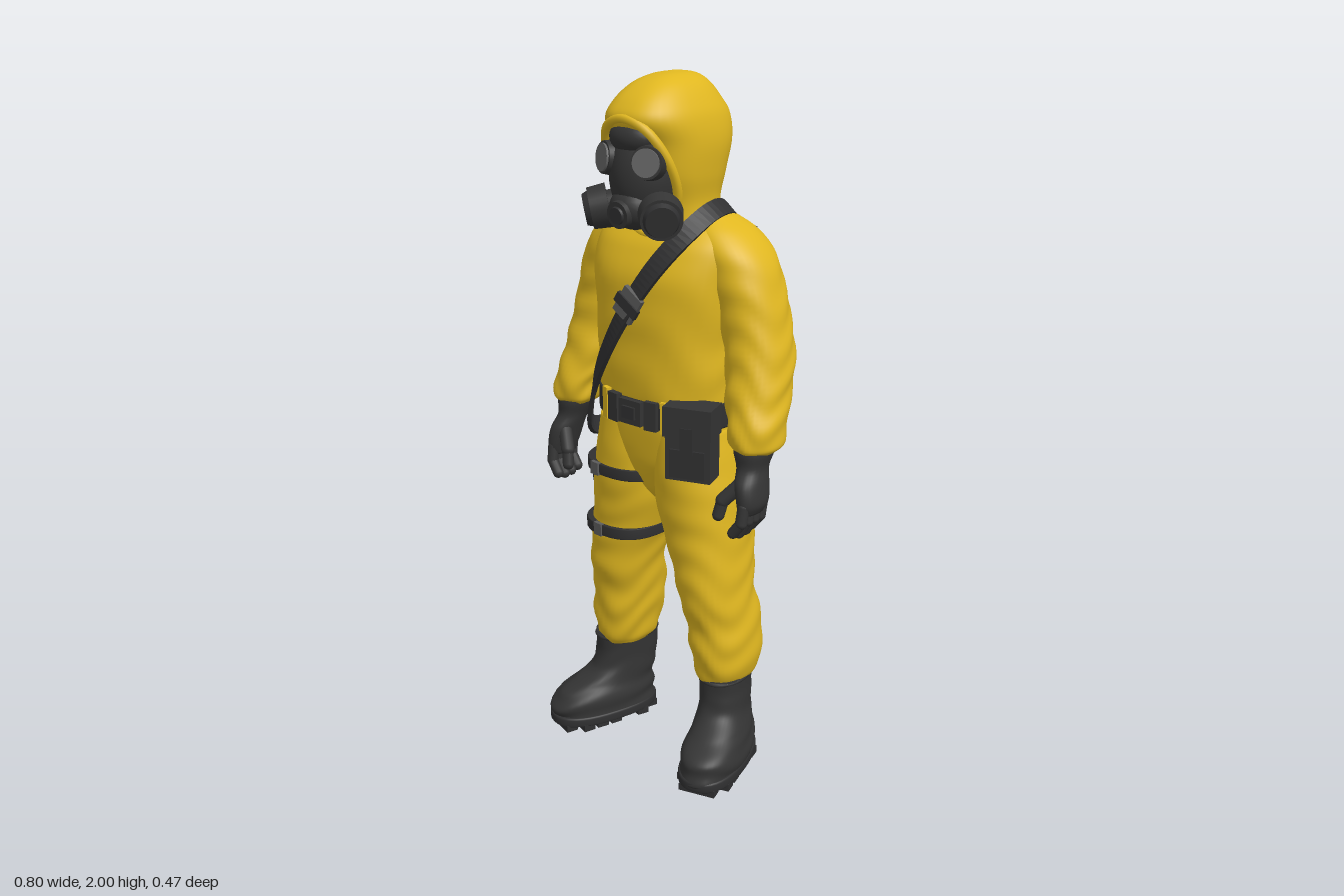
import * as THREE from 'three';

const mat = (name, color) => {
  const m = new THREE.MeshStandardMaterial({ color });
  m.name = name;
  return m;
};

export function createModel() {
  const root = new THREE.Group();
  const suit = mat('yellow suit', 0xe0b720);
  const gear = mat('black rubber', 0x343434);
  const web = mat('dark webbing', 0x303031);
  const metal = mat('grey metal', 0x5c5c5c);
  const glass = mat('grey lens', 0x666666);

  const add = (name, geo, material, pos = [0, 0, 0], rot = [0, 0, 0], parent = root) => {
    const m = new THREE.Mesh(geo, material);
    m.name = name;
    m.position.set(...pos);
    m.rotation.set(...rot);
    parent.add(m);
    return m;
  };
  const box = (name, size, pos, material, rot, parent) =>
    add(name, new THREE.BoxGeometry(...size), material, pos, rot, parent);

  // Closed grid of rings, rows running upwards and columns from +x to +z
  function skin(rows, cap = true) {
    const n = rows[0].length, pos = [], idx = [];
    rows.forEach(r => r.forEach(p => pos.push(p.x, p.y, p.z)));
    for (let i = 0; i < rows.length - 1; i++) for (let j = 0; j < n; j++) {
      const a = i * n + j, b = i * n + (j + 1) % n;
      idx.push(a, a + n, b, b, a + n, b + n);
    }
    if (cap) [rows[0], rows[rows.length - 1]].forEach((r, k) => {
      const c = pos.length / 3, o = k * (rows.length - 1) * n;
      const mid = r.reduce((s, p) => s.add(p), new THREE.Vector3()).divideScalar(n);
      pos.push(mid.x, mid.y, mid.z);
      for (let j = 0; j < n; j++) {
        const a = o + j, b = o + (j + 1) % n;
        if (k) idx.push(c, b, a); else idx.push(c, a, b);
      }
    });
    const g = new THREE.BufferGeometry();
    g.setAttribute('position', new THREE.Float32BufferAttribute(pos, 3));
    g.setIndex(idx);
    g.computeVertexNormals();
    return g;
  }

  // Loft through keys [y, cx, cz, rx, rz]; folds adds cloth creases that fade upwards
  function loft(keys, { s = 1, p = 2.2, folds = 0, freq = 55, steps = 56, sides = 40 } = {}) {
    const mid = new THREE.CatmullRomCurve3(keys.map(k => new THREE.Vector3(k[1] * s, k[0], k[2])), false, 'catmullrom', 0.5);
    const rad = new THREE.CatmullRomCurve3(keys.map(k => new THREE.Vector3(k[3], k[4], 0)), false, 'catmullrom', 0.5);
    const rows = [];
    for (let i = 0; i <= steps; i++) {
      const t = i / steps, c = mid.getPoint(t), r = rad.getPoint(t), row = [];
      for (let j = 0; j < sides; j++) {
        const a = j / sides * Math.PI * 2, ca = Math.cos(a), sa = Math.sin(a);
        const w = 1 + folds * (1 - t) * Math.sin(c.y * freq + 2.2 * Math.sin(a * 2 + s) + 1.3 * Math.cos(a * 3 + c.y * 9));
        const e = x => Math.sign(x) * Math.abs(x) ** (2 / p) * w;
        row.push(new THREE.Vector3(c.x + e(ca) * Math.max(r.x, 0.001), c.y, c.z + e(sa) * Math.max(r.y, 0.001)));
      }
      rows.push(row);
    }
    return skin(rows);
  }

  // Capsule between two points
  function rod(name, a, b, r, material) {
    const A = new THREE.Vector3(...a), B = new THREE.Vector3(...b), d = B.clone().sub(A);
    const m = add(name, new THREE.CapsuleGeometry(r, d.length(), 5, 12), material);
    m.position.copy(A.add(B).multiplyScalar(0.5));
    m.quaternion.setFromUnitVectors(new THREE.Vector3(0, 1, 0), d.normalize());
  }

  // Flat strap following a closed loop around the body
  function strap(points, width, thick) {
    const curve = new THREE.CatmullRomCurve3(points.map(q => new THREE.Vector3(...q)), true);
    const rows = [];
    for (let i = 0; i <= 110; i++) {
      const c = curve.getPointAt(i / 110 % 1), T = curve.getTangentAt(i / 110 % 1);
      const N = new THREE.Vector3(c.x - 0.03, (c.y - 1.3) * 0.4, c.z);
      N.addScaledVector(T, -N.dot(T)).normalize();
      const B = T.clone().cross(N);
      rows.push([[1, 1], [-1, 1], [-1, -1], [1, -1]].map(([u, v]) =>
        c.clone().addScaledVector(B, u * width / 2).addScaledVector(N, v * thick / 2)));
    }
    const g = skin(rows, false).toNonIndexed();
    g.computeVertexNormals();
    return g;
  }

  // Jacket and trouser seat
  add('jacket', loft([[1.1, 0, 0.005, 0.198, 0.148], [1.15, 0, 0, 0.214, 0.163], [1.3, 0, 0, 0.218, 0.167],
    [1.45, 0, -0.004, 0.232, 0.168], [1.54, 0, -0.016, 0.238, 0.152], [1.59, 0, -0.024, 0.214, 0.124],
    [1.63, 0, -0.03, 0.15, 0.092], [1.66, 0, -0.03, 0.09, 0.06]], { p: 2.4, folds: 0.014, freq: 40 }), suit);
  add('trouserSeat', loft([[0.81, 0, 0, 0.03, 0.07], [0.85, 0, 0, 0.06, 0.1], [0.91, 0, 0, 0.12, 0.126], [0.97, 0, 0, 0.2, 0.138],
    [1.05, 0, 0, 0.208, 0.147], [1.12, 0, 0, 0.2, 0.145]], { p: 2.5, folds: 0.008 }), suit);

  // Hood with rolled face opening
  add('hood', loft([[1.57, 0, -0.02, 0.135, 0.105], [1.66, 0, -0.008, 0.12, 0.112], [1.74, 0, -0.002, 0.131, 0.138],
    [1.82, 0, -0.004, 0.137, 0.16], [1.885, 0, 0.014, 0.128, 0.182], [1.93, 0, 0.017, 0.108, 0.158],
    [1.97, 0, 0.007, 0.078, 0.116], [1.992, 0, -0.005, 0.043, 0.068], [2.0, 0, -0.01, 0.002, 0.004]], { p: 2.55 }), suit);
  const half = [[0.066, 1.868, 0.178], [0.107, 1.79, 0.138], [0.104, 1.69, 0.096], [0.06, 1.6, 0.088]];
  const rim = [[0, 1.893, 0.19], ...half, [0, 1.58, 0.1], ...half.map(([x, y, z]) => [-x, y, z]).reverse()];
  add('hoodRim', new THREE.TubeGeometry(new THREE.CatmullRomCurve3(rim.map(q => new THREE.Vector3(...q)), true),
    70, 0.013, 8, true), suit);

  // Gas mask
  add('maskFace', new THREE.SphereGeometry(1, 36, 24).scale(0.102, 0.15, 0.118), gear, [0, 1.745, 0.087]);
  add('maskBrow', new THREE.SphereGeometry(1, 24, 16).scale(0.072, 0.046, 0.05), gear, [0, 1.842, 0.152]);
  add('maskSnout', new THREE.SphereGeometry(1, 24, 16).scale(0.07, 0.06, 0.07), gear, [0, 1.66, 0.145]);
  const turned = (name, geo, material, pos, dir) =>
    add(name, geo, material, pos).quaternion.setFromUnitVectors(new THREE.Vector3(0, 1, 0), new THREE.Vector3(...dir).normalize());
  const disc = (r1, r2, h) => new THREE.CylinderGeometry(r1, r2, h, 32);
  turned('outletValve', disc(0.036, 0.042, 0.05), gear, [0, 1.65, 0.192], [0, -0.1, 1]);
  turned('outletCap', disc(0.022, 0.026, 0.012), web, [0, 1.647, 0.217], [0, -0.1, 1]);
  for (const s of [1, -1]) {
    const look = [s * 0.42, 0.12, 1];
    turned('lensRim', disc(0.043, 0.048, 0.035), gear, [s * 0.069, 1.785, 0.171], look);
    turned('lens', disc(0.037, 0.037, 0.008), glass, [s * 0.0765, 1.787, 0.1885], look);
    const out = [s * 0.75, -0.2, 0.75];
    turned('filterNeck', disc(0.035, 0.04, 0.08), gear, [s * 0.08, 1.662, 0.13], out);
    turned('filter', disc(0.056, 0.06, 0.05), gear, [s * 0.11, 1.65, 0.168], out);
    turned('filterEnd', disc(0.042, 0.05, 0.02), web, [s * 0.131, 1.644, 0.19], out);
  }

  for (const s of [1, -1]) {
    // Sleeve
    add('sleeve', loft([[1.03, 0.333, 0.04, 0.05, 0.06], [1.05, 0.333, 0.035, 0.067, 0.08], [1.1, 0.328, 0.025, 0.072, 0.088],
      [1.17, 0.308, 0, 0.082, 0.094], [1.26, 0.292, -0.027, 0.087, 0.1], [1.36, 0.266, -0.036, 0.091, 0.1],
      [1.46, 0.234, -0.036, 0.096, 0.104], [1.54, 0.197, -0.036, 0.095, 0.106], [1.595, 0.155, -0.035, 0.082, 0.092],
      [1.635, 0.12, -0.035, 0.045, 0.055]], { s, folds: 0.05, freq: 62 }), suit);

    // Glove
    add('glove', loft([[0.87, 0.358, 0.085, 0.022, 0.045], [0.9, 0.36, 0.082, 0.032, 0.056], [0.95, 0.35, 0.075, 0.036, 0.058],
      [0.99, 0.34, 0.058, 0.038, 0.05], [1.03, 0.335, 0.048, 0.05, 0.06], [1.06, 0.333, 0.04, 0.052, 0.062]],
      { s, folds: 0.02, steps: 24, sides: 24 }), gear);
    for (let i = 0; i < 4; i++) {
      const z = 0.043 + i * 0.027, tip = 0.805 + Math.abs(i - 1.6) * 0.008;
      rod('finger', [s * 0.362, 0.895, z], [s * 0.36, 0.85, z + 0.007], 0.0165, gear);
      rod('fingertip', [s * 0.36, 0.85, z + 0.007], [s * 0.335, tip, z + 0.01], 0.0155, gear);
    }
    rod('thumb', [s * 0.335, 0.95, 0.1], [s * 0.295, 0.9, 0.13], 0.02, gear);
    rod('thumbTip', [s * 0.295, 0.9, 0.13], [s * 0.287, 0.858, 0.138], 0.017, gear);

    // Trouser leg
    add('trouserLeg', loft([[0.27, 0.197, -0.025, 0.062, 0.095], [0.3, 0.198, -0.022, 0.078, 0.106], [0.38, 0.194, -0.02, 0.09, 0.12],
      [0.46, 0.185, -0.018, 0.093, 0.122], [0.55, 0.174, 0.003, 0.095, 0.122], [0.65, 0.157, 0, 0.106, 0.13],
      [0.75, 0.134, -0.003, 0.122, 0.137], [0.84, 0.12, 0, 0.128, 0.141], [0.95, 0.109, 0, 0.12, 0.144],
      [1.05, 0.102, 0, 0.106, 0.141]], { s, folds: 0.036, freq: 58, steps: 70 }), suit);

    // Boot
    const boot = new THREE.Group();
    boot.name = 'boot';
    boot.position.set(s * 0.217 - 0.008, 0, 0);
    boot.rotation.y = s * 0.3;
    root.add(boot);
    add('bootUpper', loft([[0.03, 0, 0.055, 0.088, 0.174], [0.07, 0, 0.055, 0.09, 0.174], [0.105, 0, 0.045, 0.085, 0.16],
      [0.135, -0.003, 0.018, 0.077, 0.132], [0.175, -0.007, -0.015, 0.07, 0.106], [0.23, -0.009, -0.026, 0.069, 0.1],
      [0.29, -0.011, -0.026, 0.071, 0.1]], { s, p: 2.3, folds: 0.035, freq: 90 }), gear, [0, 0, 0], [0, 0, 0], boot);
    add('bootSole', loft([[0.016, 0, 0.055, 0.088, 0.174], [0.02, 0, 0.055, 0.092, 0.179], [0.04, 0, 0.055, 0.092, 0.179],
      [0.046, 0, 0.055, 0.088, 0.174]], { p: 2.4, steps: 9 }), web, [0, 0, 0], [0, 0, 0], boot);
    for (let i = 0; i < 7; i++) if (i !== 2)
      box('soleLug', [i === 0 || i === 6 ? 0.11 : 0.162, 0.022, 0.036], [0, 0.011, -0.09 + i * 0.048], web, undefined, boot);
    add('bootCollar', new THREE.TorusGeometry(0.069, 0.007, 8, 32).rotateX(Math.PI / 2).scale(1, 1, 1.4),
      gear, [s * -0.011, 0.28, -0.026], [0, 0, 0], boot);
  }

  // Belt, buckle and suit loops
  add('belt', loft([[1.062, 0, 0.002, 0.213, 0.161], [1.064, 0, 0.002, 0.215, 0.163], [1.128, 0, 0.002, 0.215, 0.163],
    [1.13, 0, 0.002, 0.213, 0.161]], { p: 2.5, steps: 6 }), web);
  box('buckle', [0.08, 0.07, 0.022], [0, 1.096, 0.168], gear);
  box('buckleCatch', [0.045, 0.035, 0.01], [0, 1.096, 0.181], web);
  for (const s of [1, -1]) {
    box('buckleSide', [0.04, 0.082, 0.024], [s * 0.068, 1.096, 0.161], gear, [0, s * 0.15, 0]);
    box('frontBeltLoop', [0.026, 0.09, 0.02], [s * 0.108, 1.096, 0.15], suit, [0, s * 0.35, 0]);
    box('backBeltLoop', [0.038, 0.08, 0.02], [s * 0.07, 1.096, -0.155], suit, [0, s * -0.12, 0]);
  }

  // Belt pouch
  const pouch = new THREE.Group();
  pouch.name = 'pouch';
  pouch.position.set(0.188, 1.045, 0.132);
  pouch.rotation.y = 0.35;
  root.add(pouch);
  box('pouchBody', [0.13, 0.2, 0.075], [0, -0.005, 0], gear, undefined, pouch);
  box('pouchFlap', [0.138, 0.085, 0.088], [0, 0.062, 0.002], gear, undefined, pouch);
  box('pouchTab', [0.035, 0.075, 0.012], [0, 0.012, 0.043], web, undefined, pouch);
  box('pouchPocket', [0.1, 0.08, 0.012], [0, -0.055, 0.038], web, undefined, pouch);

  // Cross-body strap with fittings
  add('shoulderStrap', strap([[-0.237, 0.985, 0.085], [-0.175, 1.13, 0.132], [-0.085, 1.27, 0.169], [0, 1.4, 0.173],
    [0.08, 1.515, 0.152], [0.132, 1.6, 0.09], [0.147, 1.646, 0.005], [0.138, 1.645, -0.07], [0.108, 1.575, -0.146],
    [0.04, 1.45, -0.177], [-0.06, 1.27, -0.172], [-0.155, 1.11, -0.14], [-0.215, 1.01, -0.095], [-0.25, 0.965, 0]],
    0.054, 0.012), web);
  box('strapBuckle', [0.085, 0.07, 0.014], [0, 1.4, 0.178], metal, [0, 0, 0.98]);
  box('strapBuckleBar', [0.03, 0.085, 0.012], [0, 1.4, 0.184], web, [0, 0, 0.98]);
  box('backClip', [0.038, 0.03, 0.018], [0.092, 1.55, -0.228], metal);
  box('lowerClip', [0.038, 0.03, 0.018], [-0.195, 1.075, -0.16], metal);

  // Thigh straps
  for (const [y, cx, rx, rz] of [[0.88, -0.124, 0.138, 0.15], [0.685, -0.151, 0.122, 0.142]]) {
    const r = [[-0.016, 0.98], [-0.014, 1], [0.014, 1], [0.016, 0.98]];
    add('thighStrap', loft(r.map(([d, k]) => [y + d, cx, 0, rx * k, rz * k]), { p: 2.5, steps: 6 }), web);
    box('strapSlider', [0.032, 0.038, 0.012], [-0.165, y, rz - 0.003], metal, [0, -0.1, 0]);
    box('strapLink', [0.05, 0.028, 0.05], [-0.262, y, -0.06], web);
  }

  // Thigh holster: backing plate, pocket and grip, profiles given as [-z, y]
  const slab = (name, points, depth, material, x) => add(name,
    new THREE.ExtrudeGeometry(new THREE.Shape(points.map(q => new THREE.Vector2(...q))), { depth, bevelEnabled: false })
      .rotateY(Math.PI / 2), material, [x, 0, 0]);
  slab('holsterPlate', [[0.03, 0.92], [0.02, 0.8], [0.05, 0.67], [0.12, 0.62], [0.155, 0.63], [0.155, 0.92]], 0.016, web, -0.29);
  slab('holsterPocket', [[0, 0.82], [0.02, 0.7], [0.07, 0.64], [0.14, 0.64], [0.145, 0.79], [0.11, 0.83]], 0.042, gear, -0.331);
  box('holsterGrip', [0.034, 0.085, 0.04], [-0.308, 0.85, -0.122], gear, [0.35, 0, 0]);

  return root;
}
